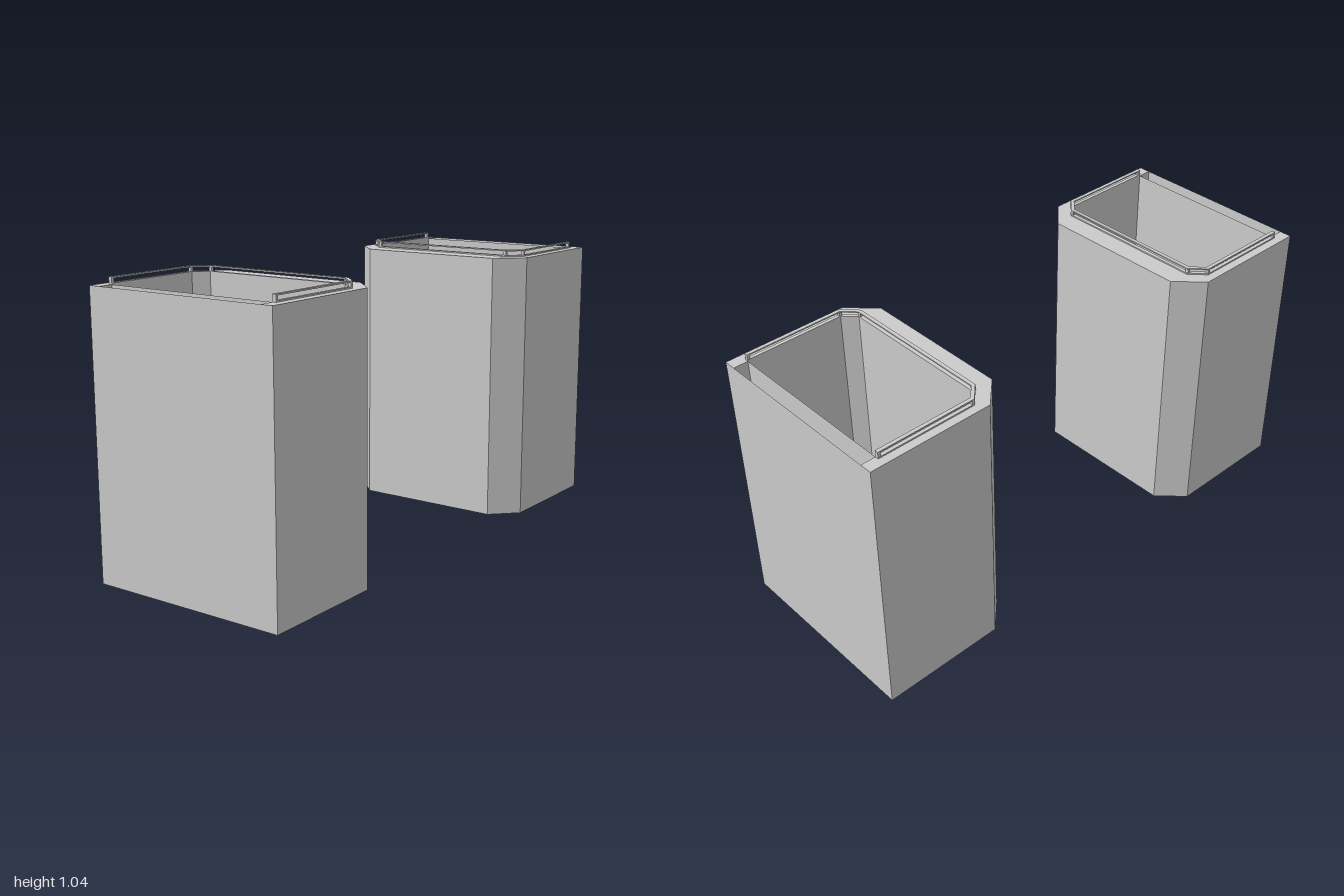
import * as THREE from 'three';

const material = new THREE.MeshStandardMaterial({ color: 0xcccccc, flatShading: true });
const sheetMaterial = new THREE.MeshStandardMaterial({ color: 0xcccccc, flatShading: true, side: THREE.DoubleSide });

const HEIGHT = 1.02;
const RIM_TOP = 1.045;
const BAR = 0.005;

// Half profiles in (x, z), from the outer end to the chamfered inner corner
const wallOuter = [[1, 0.383], [0.525, 0.383], [0.43, 0.287]];
const wallInner = [[1, 0.337], [0.567, 0.337], [0.523, 0.291]];
const rimOuter = [[0.945, 0.351], [0.562, 0.351], [0.509, 0.295]];
const rimInner = [[0.945, 0.337], [0.567, 0.337], [0.523, 0.291]];

const mirrored = (half) => [...half, ...half.map(([x, z]) => [x, -z]).reverse()];

// Upright U-shaped band between two profiles, from y0 to y1
function band(name, outer, inner, y0, y1) {
  const outline = [...mirrored(outer), ...mirrored(inner).reverse()];
  const shape = new THREE.Shape(outline.map(([x, z]) => new THREE.Vector2(x, z)));
  const geometry = new THREE.ExtrudeGeometry(shape, { depth: y1 - y0, bevelEnabled: false });
  geometry.rotateX(Math.PI / 2).translate(0, y1, 0);
  const mesh = new THREE.Mesh(geometry, material);
  mesh.name = name;
  return mesh;
}

// Thin upright sheet facing +x
function sheet(name, x, width) {
  const geometry = new THREE.PlaneGeometry(width, HEIGHT).rotateY(Math.PI / 2);
  const mesh = new THREE.Mesh(geometry, sheetMaterial);
  mesh.name = name;
  mesh.position.set(x, HEIGHT / 2, 0);
  return mesh;
}

// Raised slotted rim: two bars held apart by small posts
function makeRim() {
  const rim = new THREE.Group();
  rim.name = 'rim';
  rim.add(band('rimLowerBar', rimOuter, rimInner, HEIGHT, HEIGHT + BAR));
  rim.add(band('rimUpperBar', rimOuter, rimInner, RIM_TOP - BAR, RIM_TOP));
  const postHeight = RIM_TOP - HEIGHT - 2 * BAR;
  for (const [x, z] of [[0.94, 0.344], [0.565, 0.344], [0.516, 0.293]]) {
    for (const side of [1, -1]) {
      const post = new THREE.Mesh(new THREE.BoxGeometry(0.01, postHeight, 0.013), material);
      post.name = 'rimPost';
      post.position.set(x, (HEIGHT + RIM_TOP) / 2, side * z);
      rim.add(post);
    }
  }
  return rim;
}

// One open-ended housing with chamfered inner corners and a double outer wall
function makeHousing(name) {
  const housing = new THREE.Group();
  housing.name = name;
  housing.add(
    band('shell', wallOuter, wallInner, 0, HEIGHT),
    sheet('outerPanel', 1, 0.674),
    sheet('innerPanel', 0.945, 0.674),
    makeRim()
  );
  return housing;
}

export function createModel() {
  const model = new THREE.Group();
  model.name = 'housingPair';
  const left = makeHousing('leftHousing');
  const right = makeHousing('rightHousing');
  right.rotation.y = Math.PI;
  model.add(left, right);
  return model;
}
